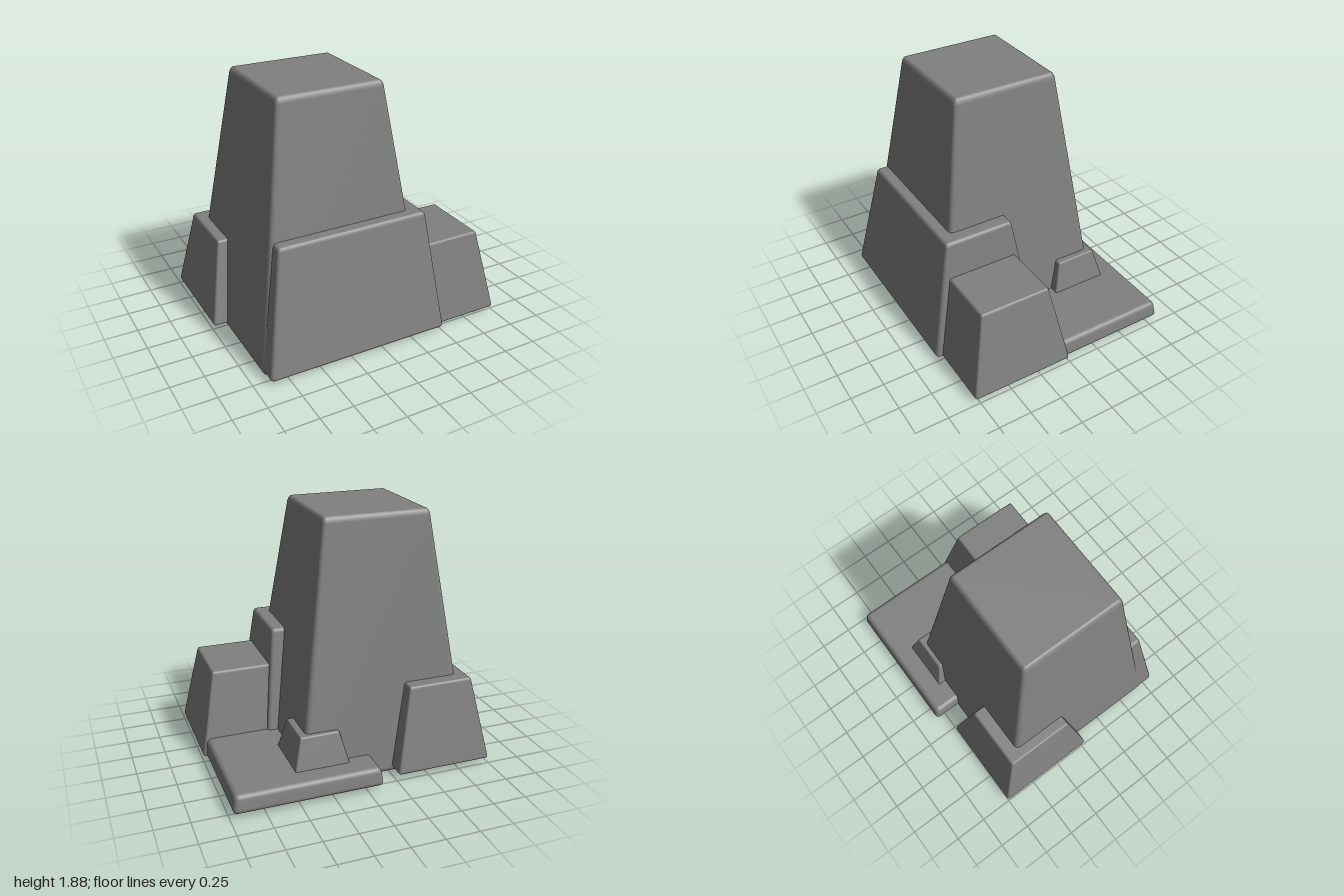
import * as THREE from 'three';
import { mergeVertices } from 'three/addons/utils/BufferGeometryUtils.js';
import { RoundedBoxGeometry } from 'three/addons/geometries/RoundedBoxGeometry.js';

const stone = new THREE.MeshStandardMaterial({ color: 0x808080 });
stone.name = 'grey stone';

// Rounded block that narrows upwards; bottom and top are [x0, x1, z0, z1].
function taperedBlock(name, y0, y1, bottom, top, radius) {
  const height = y1 - y0;
  const width = bottom[1] - bottom[0];
  const depth = bottom[3] - bottom[2];
  let geometry = new RoundedBoxGeometry(width, height, depth, 3, radius);
  const p = geometry.attributes.position;
  for (let i = 0; i < p.count; i++) {
    const t = p.getY(i) / height + 0.5;
    const u = p.getX(i) / width + 0.5;
    const v = p.getZ(i) / depth + 0.5;
    const [x0, x1, z0, z1] = bottom.map((b, k) => THREE.MathUtils.lerp(b, top[k], t));
    p.setXYZ(i, THREE.MathUtils.lerp(x0, x1, u), y0 + t * height, THREE.MathUtils.lerp(z0, z1, v));
  }
  // Weld the sides so the rounded edges shade smoothly.
  geometry.deleteAttribute('uv');
  geometry.deleteAttribute('normal');
  geometry = mergeVertices(geometry, 1e-5);
  geometry.computeVertexNormals();
  const mesh = new THREE.Mesh(geometry, stone);
  mesh.name = name;
  return mesh;
}

export function createModel() {
  const group = new THREE.Group();
  group.name = 'rockFormation';
  group.add(
    // Tall central block
    taperedBlock('tower', 0, 1.885, [-0.9, 0.44, -0.625, 0.72], [-0.625, 0.17, -0.355, 0.435], 0.045),
    // Wide block across the front
    taperedBlock('frontBlock', 0.03, 0.94, [-0.895, 0.51, -0.02, 0.83], [-0.74, 0.405, 0.135, 0.66], 0.03),
    // Cubes on the two opposite corners
    taperedBlock('leftCube', 0.035, 0.665, [0.24, 1, 0, 0.785], [0.36, 0.875, 0.125, 0.66], 0.02),
    taperedBlock('backRightCube', 0.04, 0.665, [-1, -0.265, -0.755, 0.035], [-0.88, -0.39, -0.625, -0.105], 0.02),
    // Low slab at the back and the small block on it
    taperedBlock('backSlab', 0.035, 0.17, [-0.12, 0.98, -0.835, 0.34], [-0.1, 0.96, -0.81, 0.32], 0.035),
    taperedBlock('smallBlock', 0.06, 0.4, [0.055, 0.515, -0.69, -0.2], [0.14, 0.43, -0.6, -0.285], 0.014),
  );
  return group;
}
